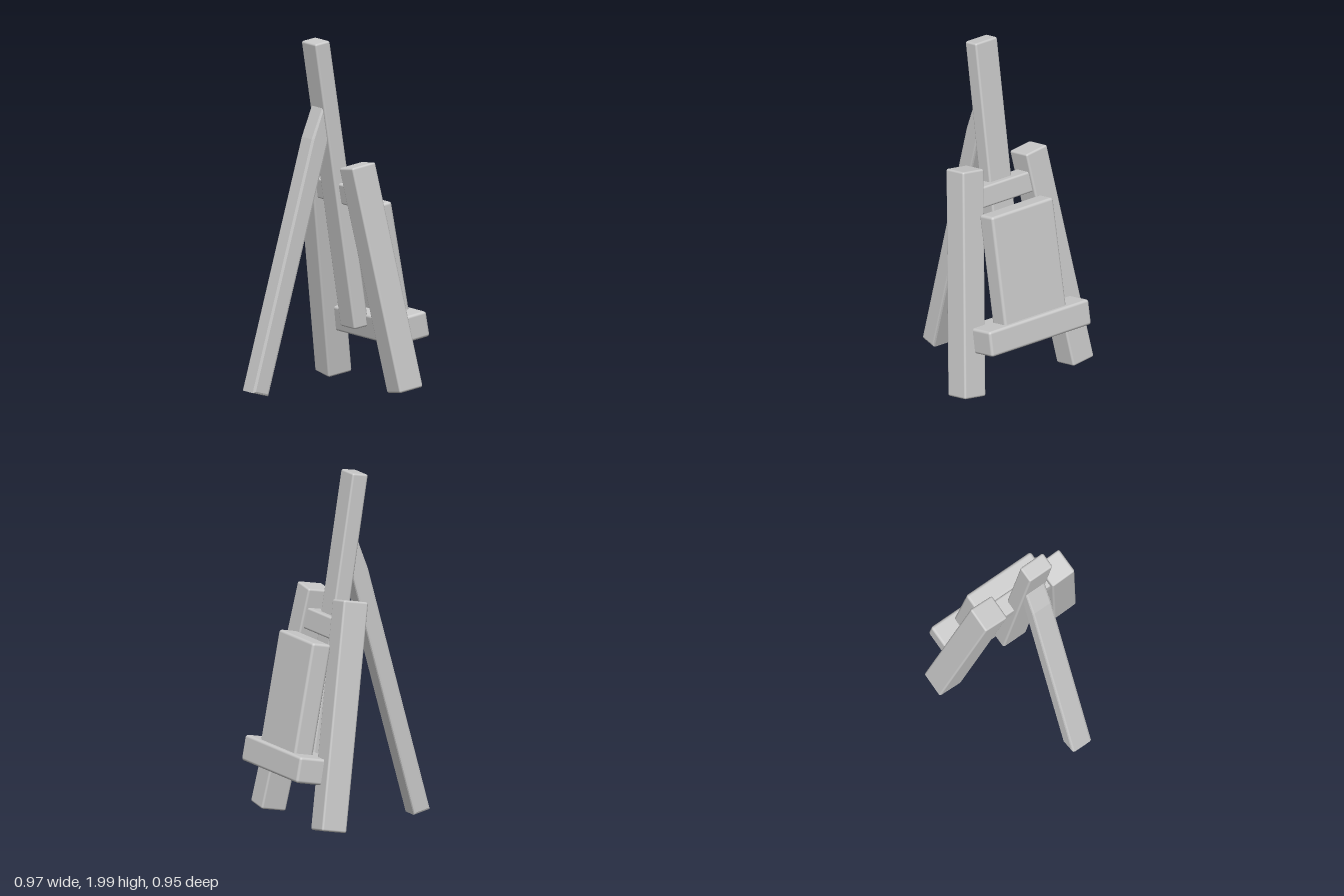
import * as THREE from 'three';
import { RoundedBoxGeometry } from 'three/addons/geometries/RoundedBoxGeometry.js';

const material = new THREE.MeshStandardMaterial({ color: 0xcccccc });

// Rounded bar whose end faces are centred on two points
function beam(name, from, to, depthX, widthZ, radius = 0.012) {
  const a = new THREE.Vector3(...from);
  const b = new THREE.Vector3(...to);
  const axis = b.clone().sub(a);
  const mesh = new THREE.Mesh(new RoundedBoxGeometry(depthX, axis.length(), widthZ, 2, radius), material);
  mesh.name = name;
  mesh.position.copy(a).add(b).multiplyScalar(0.5);
  mesh.quaternion.setFromUnitVectors(new THREE.Vector3(0, 1, 0), axis.normalize());
  return mesh;
}

export function createModel() {
  const easel = new THREE.Group();
  easel.name = 'easel';

  // Leaning centre post
  easel.add(beam('mast', [0.208, 0.35, 0], [-0.047, 1.992, 0], 0.097, 0.16));

  // Pair of splayed front legs
  for (const [name, s] of [['frontLegLeft', 1], ['frontLegRight', -1]]) {
    easel.add(beam(name, [0.303, 0.032, s * 0.398], [0.088, 1.306, s * 0.232], 0.154, 0.154));
  }

  // Crossbar joining the legs, and the ledge below
  easel.add(beam('crossbar', [0.13, 1.07, 0], [0.11, 1.19, 0], 0.11, 0.42));
  easel.add(beam('ledge', [0.372, 0.298, 0], [0.346, 0.444, 0], 0.235, 0.73, 0.016));

  // Canvas resting on the ledge
  easel.add(beam('canvas', [0.378, 0.43, 0], [0.26, 1.07, 0], 0.118, 0.45, 0.016));

  // Rear strut with a tapered tip meeting the mast
  const outline = new THREE.Shape([
    [-0.473, 0.039], [-0.397, 0.019], [-0.005, 1.45], [0.01, 1.58],
    [-0.026, 1.62], [-0.092, 1.44],
  ].map(([x, y]) => new THREE.Vector2(x, y)));
  const bevel = 0.012;
  const strut = new THREE.ExtrudeGeometry(outline, {
    depth: 0.13 - 2 * bevel, bevelThickness: bevel, bevelSize: bevel, bevelSegments: 2,
  });
  strut.translate(0, 0, -0.065 + bevel);
  const rearLeg = new THREE.Mesh(strut, material);
  rearLeg.name = 'rearLeg';
  easel.add(rearLeg);

  return easel;
}
